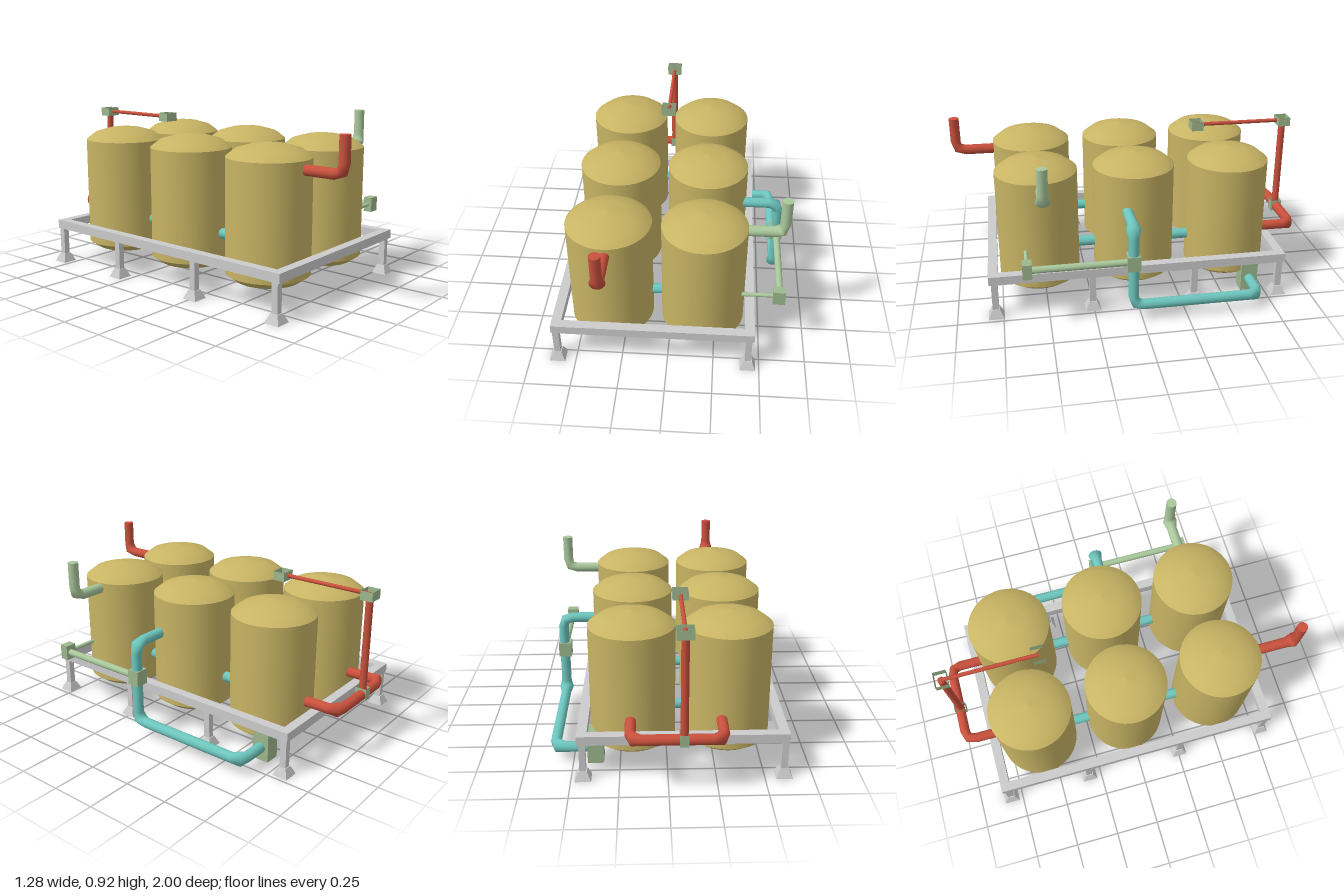
import * as THREE from 'three';

const mat = (color, side = THREE.FrontSide) => new THREE.MeshStandardMaterial({ color, side });
const GOLD = mat(0xc8b464), TEAL = mat(0x6cc5bd), RED = mat(0xc8503c);
const GREEN = mat(0xa9c79b), BOX = mat(0x9db88e), BOX_OPEN = mat(0x9db88e, THREE.DoubleSide);
const GREY = mat(0xcccccc);
const V = (x, y, z) => new THREE.Vector3(x, y, z);

function add(parent, name, geometry, material, x = 0, y = 0, z = 0) {
  const mesh = new THREE.Mesh(geometry, material);
  mesh.name = name;
  mesh.position.set(x, y, z);
  parent.add(mesh);
  return mesh;
}

function box(parent, name, w, h, d, x, y, z, material) {
  return add(parent, name, new THREE.BoxGeometry(w, h, d), material, x, y, z);
}

// Square sleeve, open at top and bottom
function sleeve(parent, name, w, h, d, x, y, z) {
  const g = new THREE.CylinderGeometry(Math.SQRT1_2, Math.SQRT1_2, 1, 4, 1, true).toNonIndexed();
  g.rotateY(Math.PI / 4).scale(w, h, d);
  g.computeVertexNormals();
  return add(parent, name, g, BOX_OPEN, x, y, z);
}

// Round pipe along a path; every corner becomes a chunky two-piece elbow
function pipe(parent, name, corners, r, material, bend = 0.055, sides = 16) {
  const rings = [];
  const dirs = corners.slice(1).map((p, i) => p.clone().sub(corners[i]).normalize());
  corners.forEach((p, i) => {
    if (i === 0 || i === corners.length - 1) {
      rings.push({ p, t: dirs[Math.min(i, dirs.length - 1)] });
      return;
    }
    const a = dirs[i - 1], b = dirs[i];
    const inward = b.clone().sub(a);
    rings.push({ p: p.clone().addScaledVector(a, -bend), t: a });
    rings.push({
      p: p.clone().addScaledVector(inward, 0.013),
      t: a.clone().add(b).normalize(),
      wide: a.clone().cross(b).normalize(),
    });
    rings.push({ p: p.clone().addScaledVector(b, bend), t: b });
  });
  // Carry the ring's starting direction along the path so it never twists
  const t0 = rings[0].t;
  let u = Math.abs(t0.y) > 0.9 ? V(1, 0, 0) : V(0, 1, 0);
  const pos = [], idx = [];
  rings.forEach((ring, i) => {
    if (i) u.applyQuaternion(new THREE.Quaternion().setFromUnitVectors(rings[i - 1].t, ring.t));
    const w = ring.t.clone().cross(u);
    for (let k = 0; k < sides; k++) {
      const s = (k / sides) * Math.PI * 2;
      const o = u.clone().multiplyScalar(r * Math.cos(s)).addScaledVector(w, r * Math.sin(s));
      if (ring.wide) o.addScaledVector(ring.wide, 0.42 * o.dot(ring.wide));
      pos.push(...o.add(ring.p).toArray());
      if (i) {
        const a = (i - 1) * sides + k, b = (i - 1) * sides + ((k + 1) % sides);
        idx.push(a, b, a + sides, b, b + sides, a + sides);
      }
    }
  });
  const g = new THREE.BufferGeometry();
  g.setAttribute('position', new THREE.Float32BufferAttribute(pos, 3));
  g.setIndex(idx);
  g.computeVertexNormals();
  const group = new THREE.Group();
  group.name = name;
  parent.add(group);
  add(group, name + 'Wall', g, material);
  // End discs
  [[rings[0], -1], [rings[rings.length - 1], 1]].forEach(([ring, s]) => {
    const cap = add(group, name + 'End', new THREE.CircleGeometry(r, sides), material, ...ring.p.toArray());
    cap.quaternion.setFromUnitVectors(V(0, 0, 1), ring.t.clone().multiplyScalar(s));
  });
  return group;
}

export function createModel() {
  const model = new THREE.Group();
  model.name = 'tankFarm';

  // Six storage tanks with shallow domed ends
  const R = 0.227, xs = [-0.321, 0.181], zs = [-0.557, -0.016, 0.527];
  const lathe = (pts) => new THREE.LatheGeometry(pts.map(([a, b]) => new THREE.Vector2(a, b)), 40);
  const wall = lathe([[R, 0.135], [R, 0.75]]);
  const top = lathe([[R, 0.75], [0.175, 0.79], [0.095, 0.813], [0, 0.825]]);
  const bottom = lathe([[0, 0.062], [0.095, 0.077], [0.175, 0.098], [R, 0.135]]);
  for (const x of xs) for (const z of zs) {
    const tank = new THREE.Group();
    tank.name = 'tank';
    tank.position.set(x, 0, z);
    add(tank, 'tankWall', wall, GOLD);
    add(tank, 'tankTop', top, GOLD);
    add(tank, 'tankBottom', bottom, GOLD);
    model.add(tank);
  }

  // Pipes linking neighbouring tanks
  for (const z of zs) pipe(model, 'crossLink', [V(xs[0], 0.29, z), V(xs[1], 0.29, z)], 0.027, TEAL);
  for (const x of xs) pipe(model, 'lengthLink', [V(x, 0.29, zs[0]), V(x, 0.29, zs[2])], 0.029, TEAL);

  // Support frame
  const x0 = -0.62, x1 = 0.465, z0 = -0.845, z1 = 0.82, bar = 0.052, fy = 0.23;
  const mx = (x0 + x1) / 2, mz = (z0 + z1) / 2;
  for (const x of [x0 + bar / 2, x1 - bar / 2])
    box(model, 'sideRail', bar, 0.05, z1 - z0, x, fy, mz, GREY);
  for (const z of [z0 + bar / 2, z1 - bar / 2])
    box(model, 'endRail', x1 - x0 - 2 * bar, 0.05, bar, mx, fy, z, GREY);

  // Legs with flared feet
  const foot = new THREE.CylinderGeometry(0.022 * Math.SQRT2, 0.043 * Math.SQRT2, 0.048, 4)
    .rotateY(Math.PI / 4).toNonIndexed();
  foot.computeVertexNormals();
  for (const x of [-0.6, 0.438]) for (const z of [-0.817, -0.323, 0.255, 0.79]) {
    box(model, 'leg', 0.034, 0.17, 0.036, x, 0.125, z, GREY);
    add(model, 'foot', foot, GREY, x, 0.024, z);
  }

  // Front outlet
  pipe(model, 'frontOutlet', [V(-0.317, 0.703, 0.6), V(-0.317, 0.703, 0.972), V(-0.317, 0.9, 0.972)], 0.029, RED);

  // Side vent
  pipe(model, 'sideVent', [V(0.3, 0.717, 0.513), V(0.594, 0.717, 0.513), V(0.594, 0.917, 0.513)], 0.029, GREEN);

  // Rear loop with riser and overhead line
  const rx = -0.075, rz = -0.966;
  pipe(model, 'rearLoop', [V(-0.275, 0.307, -0.65), V(-0.275, 0.307, -0.97),
    V(0.19, 0.307, -0.97), V(0.19, 0.307, -0.65)], 0.028, RED);
  pipe(model, 'riser', [V(rx, 0.3, rz), V(rx, 0.865, rz)], 0.02, RED);
  pipe(model, 'overheadLine', [V(rx, 0.868, rz), V(rx, 0.868, -0.437)], 0.011, RED);
  sleeve(model, 'riserBaseSleeve', 0.045, 0.065, 0.066, rx, 0.312, rz);
  sleeve(model, 'riserTopSleeve', 0.085, 0.05, 0.07, rx, 0.866, rz);
  sleeve(model, 'overheadEndSleeve', 0.085, 0.05, 0.07, rx, 0.866, -0.437);

  // Side drain running down and back to the pump box
  pipe(model, 'sideDrain', [V(0.3, 0.552, 0.05), V(0.594, 0.552, 0.05), V(0.594, 0.09, 0.05),
    V(0.594, 0.09, -0.655), V(0.38, 0.09, -0.655)], 0.029, TEAL);
  box(model, 'pumpBox', 0.085, 0.18, 0.095, 0.378, 0.105, -0.655, BOX);

  // Control line beside the front tank
  box(model, 'drainValve', 0.074, 0.085, 0.07, 0.59, 0.355, 0.052, BOX);
  pipe(model, 'controlLine', [V(0.594, 0.355, 0.05), V(0.594, 0.355, 0.61)], 0.019, GREEN);
  box(model, 'controlBox', 0.066, 0.085, 0.05, 0.59, 0.357, 0.612, BOX);
  pipe(model, 'controlFeed', [V(0.59, 0.355, 0.61), V(0.388, 0.355, 0.61)], 0.011, GREEN);

  return model;
}
